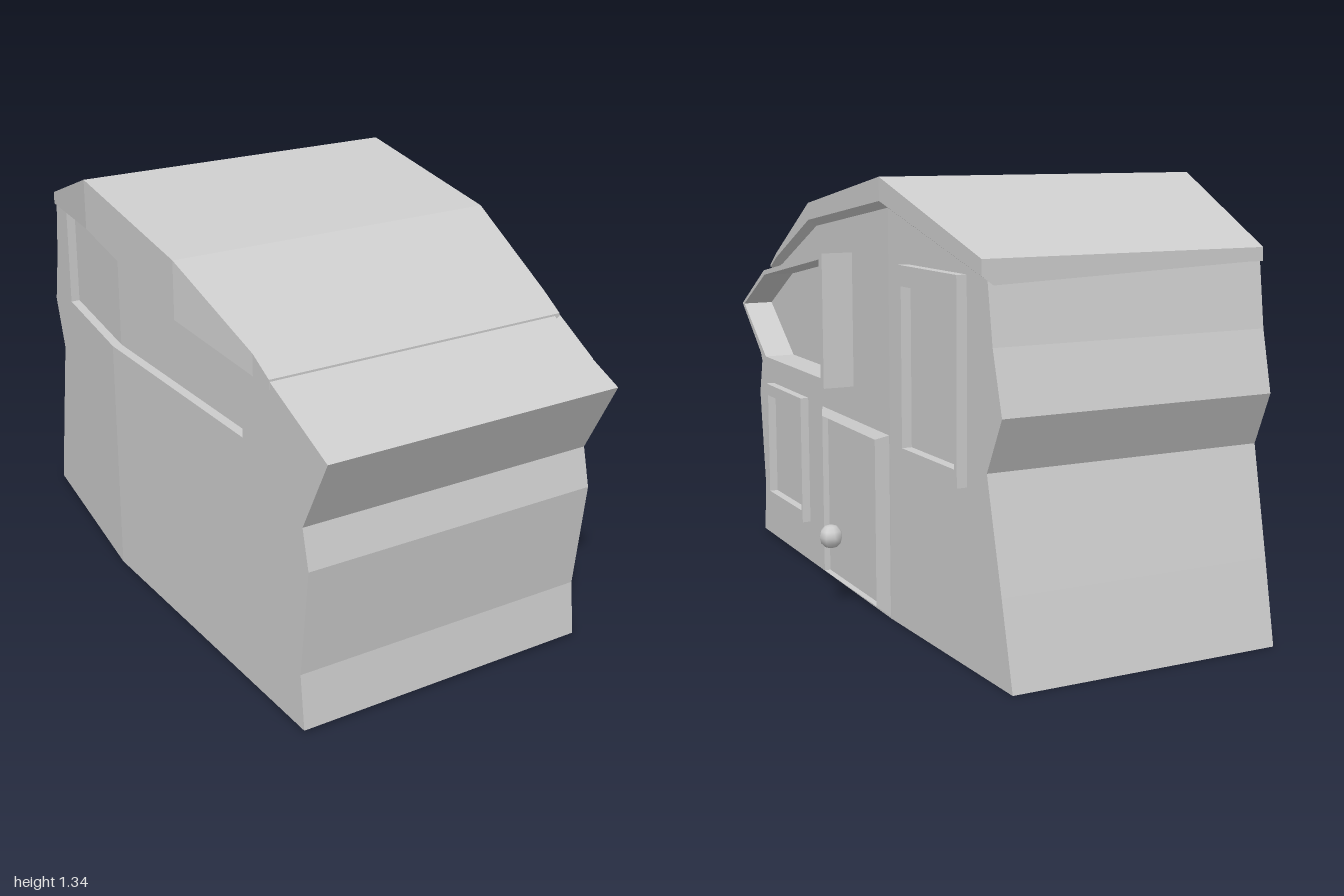
import * as THREE from 'three';

const material = new THREE.MeshStandardMaterial({ color: 0xcccccc, flatShading: true, side: THREE.DoubleSide });
const smooth = new THREE.MeshStandardMaterial({ color: 0xcccccc });
const BEND = -0.27; // behind this z both side walls taper inwards

function toShape(points, Type = THREE.Shape) {
  return new Type(points.map(([z, y]) => new THREE.Vector2(-z, y)));
}

// Side profile of [z, y] points extruded from x0 to x1, narrowed behind the bend
function slab(points, x0, x1, hole) {
  const shape = toShape(points);
  if (hole) shape.holes.push(toShape(hole, THREE.Path));
  const geometry = new THREE.ExtrudeGeometry(shape, { depth: x1 - x0, bevelEnabled: false });
  geometry.rotateY(Math.PI / 2).translate(x0, 0, 0);
  const p = geometry.attributes.position;
  for (let i = 0; i < p.count; i++) {
    const behind = Math.max(0, BEND - p.getZ(i));
    p.setX(i, p.getX(i) + behind * (p.getX(i) < 0 ? 0.137 : -0.034));
  }
  geometry.computeVertexNormals();
  return geometry;
}

// Skin over a row of equal-sized rings of [x, y, z] points
function loft(rings, caps) {
  const n = rings[0].length;
  const index = [];
  for (let r = 0; r < rings.length - 1; r++) {
    for (let i = 0; i < n; i++) {
      const a = r * n + i, b = r * n + (i + 1) % n;
      index.push(a, b, b + n, a, b + n, a + n);
    }
  }
  if (caps) {
    const last = (rings.length - 1) * n;
    for (let i = 1; i < n - 1; i++) index.push(0, i + 1, i, last, last + i, last + i + 1);
  }
  const geometry = new THREE.BufferGeometry();
  geometry.setAttribute('position', new THREE.Float32BufferAttribute(rings.flat(2), 3));
  geometry.setIndex(index);
  const flat = geometry.toNonIndexed();
  flat.computeVertexNormals();
  return flat;
}

const rect = (z0, z1, y0, y1) => [[z0, y0], [z1, y0], [z1, y1], [z0, y1]];

export function createModel() {
  const model = new THREE.Group();
  model.name = 'house';
  const add = (name, geometry, mat = material) => {
    const mesh = new THREE.Mesh(geometry, mat);
    mesh.name = name;
    model.add(mesh);
    return mesh;
  };

  // Body, in a front and a back half that meet at the bend
  const front = [[0.89, 0.01], [0.87, 0.18], [0.91, 0.52], [0.88, 0.64], [1, 0.87], [0.71, 1.0]];
  const back = [[-0.86, 1.1], [-0.89, 0.91], [-0.94, 0.73], [-0.86, 0.57], [-0.94, 0.25], [-1, 0]];
  add('frontBody', slab([[BEND, 0], ...front, [0.3, 1.18], [BEND, 1.25]], -0.51, 0.437));
  add('backBody', slab([[BEND, 0], [BEND, 1.25], ...back], -0.51, 0.437));

  // Right-hand outer wall, notched to leave the long window recess under the roof
  const sill = 0.78;
  add('frontWallSkin', slab([[BEND, 0], ...front, [0.565, 1.05], [0.565, sill], [BEND, sill]], -0.54, -0.51));
  add('backWallSkin', slab([[BEND, 0], [BEND, sill], [-0.74, sill], [-0.74, 1.12], ...back], -0.54, -0.51));

  // Roof: z, left x, right x, top y, skirt y on the -x side, eave y on the +x side
  const stations = [
    [-0.865, -0.465, 0.435, 1.14, 1.1, 1.095],
    [-0.27, -0.61, 0.465, 1.335, 1.18, 1.265],
    [0.31, -0.61, 0.465, 1.235, 1.06, 1.18],
    [0.63, -0.542, 0.463, 1.05, 0.985, 1.035],
    [0.715, -0.542, 0.455, 1.004, 0.975, 0.995],
  ];
  add('roof', loft(stations.map(([z, xl, xr, top, skirt, eave]) => [
    [xl, top, z], [xl, skirt, z], [xl + 0.05, skirt, z],
    [xr - 0.035, eave - 0.025, z], [xr, eave, z], [xr, top, z],
  ]), true));

  // Window frames on the door side
  add('lowerWindowFrame', slab(rect(0.76, 0.415, 0.145, 0.575), 0.42, 0.465, rect(0.745, 0.425, 0.185, 0.535)));
  add('rearWindowFrame', slab(rect(-0.4, -0.75, 0.51, 1.09), 0.42, 0.468, rect(-0.415, -0.735, 0.56, 1.03)));
  add('bayWindowFrame', slab(
    [[0.01, 1.095], [0.55, 1.0], [0.785, 0.865], [0.555, 0.675], [0.01, 0.675]], 0.42, 0.537,
    [[0.035, 1.075], [0.545, 0.985], [0.765, 0.865], [0.55, 0.705], [0.035, 0.705]]));

  // Door surround: bevel up from the wall, then straight back in
  const ring = (x, z0, z1, y0, y1) => rect(z0, z1, y0, y1).map(([z, y]) => [x, y, z]);
  add('doorFrame', loft([
    ring(0.435, 0.29, -0.27, 0.005, 0.57),
    ring(0.457, 0.235, -0.2, 0.022, 0.545),
    ring(0.43, 0.235, -0.2, 0.022, 0.545),
  ], false));

  // Door knob
  add('doorKnob', new THREE.SphereGeometry(0.037, 8, 6), smooth).position.set(0.57, 0.238, -0.115);

  return model;
}
